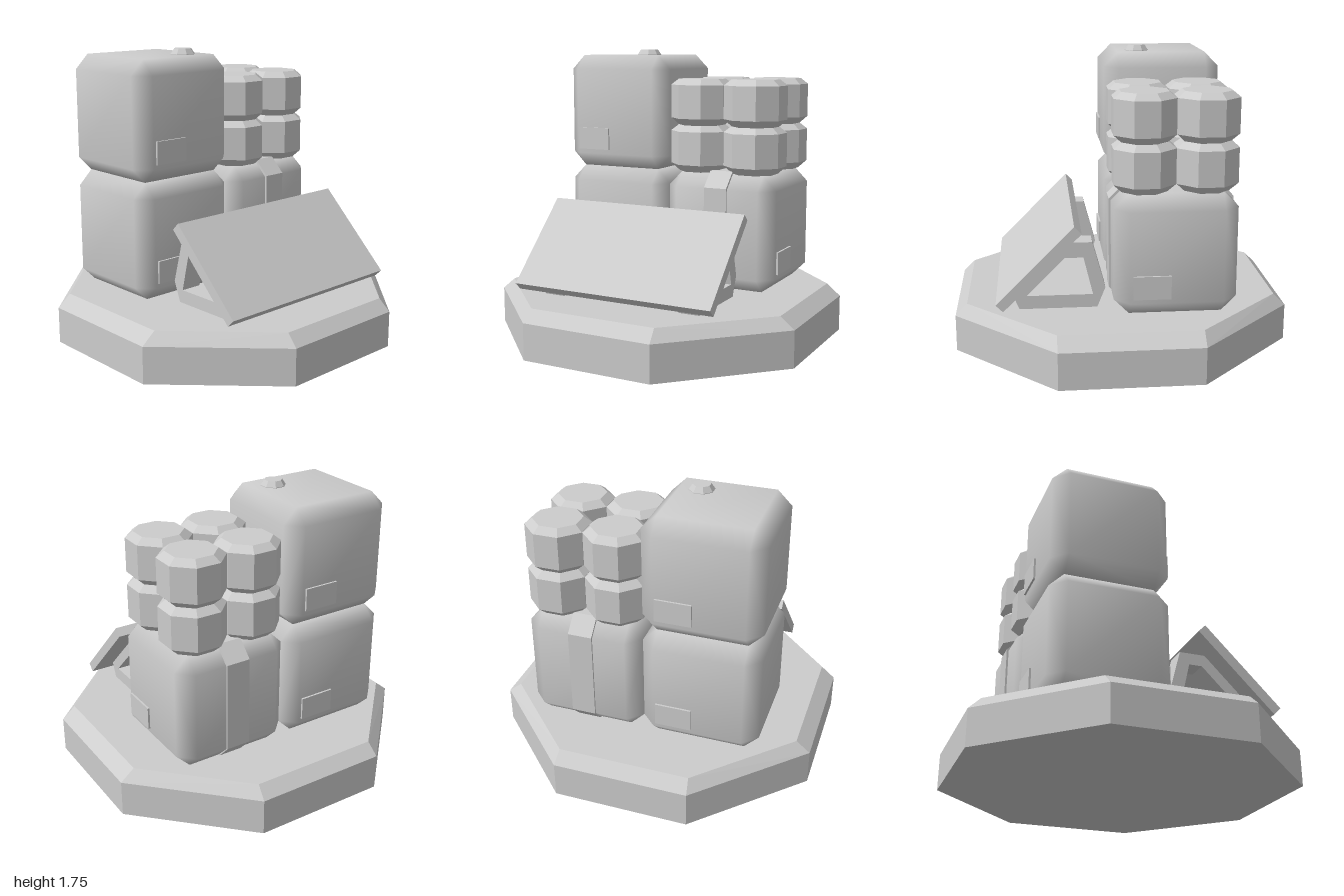
import * as THREE from 'three';
import { mergeVertices, toCreasedNormals } from 'three/addons/utils/BufferGeometryUtils.js';
import { ConvexGeometry } from 'three/addons/geometries/ConvexGeometry.js';

const grey = new THREE.MeshStandardMaterial({ color: 0xcccccc });
grey.name = 'plain grey';

function part(name, geometry, parent, x = 0, y = 0, z = 0) {
  const mesh = new THREE.Mesh(geometry, grey);
  mesh.name = name;
  mesh.position.set(x, y, z);
  parent.add(mesh);
  return mesh;
}

// Box with chamfered edges and soft shading
function chamferBox(size, c) {
  const h = size / 2, i = h - c, points = [];
  for (const x of [-1, 1]) for (const y of [-1, 1]) for (const z of [-1, 1]) {
    for (const [a, b, d] of [[h, i, i], [i, h, i], [i, i, h]]) {
      points.push(new THREE.Vector3(a * x, b * y, d * z));
    }
  }
  const g = new ConvexGeometry(points);
  g.deleteAttribute('normal');
  const merged = mergeVertices(g, 1e-4);
  merged.computeVertexNormals();
  return merged;
}

// Flat eight-sided turned form; profile is [apothem, y] from bottom to top
function octagonal(profile) {
  const k = 1 / Math.cos(Math.PI / 8);
  const points = profile.map(([r, y]) => new THREE.Vector2(r * k, y));
  const g = new THREE.LatheGeometry(points, 8).rotateY(Math.PI / 8);
  return toCreasedNormals(g, 0.3);
}

// Extrude a [z, y] outline along x, centred on x = 0
function sideExtrude(outline, width, hole) {
  const toVectors = (list) => list.map(([z, y]) => new THREE.Vector2(z, y));
  const shape = new THREE.Shape(toVectors(outline));
  if (hole) shape.holes.push(new THREE.Path(toVectors(hole)));
  return new THREE.ExtrudeGeometry(shape, { depth: width, bevelEnabled: false })
    .translate(0, 0, -width / 2).rotateY(-Math.PI / 2);
}

// Crate with a raised plate on its front and back
function crate(name, parent, x, y, turn) {
  const group = new THREE.Group();
  group.name = name;
  group.position.set(x, y, -0.285);
  group.rotation.y = turn;
  part('crateBody', chamferBox(0.716, 0.088), group);
  for (const s of [-1, 1]) {
    part('cratePlate', new THREE.BoxGeometry(0.218, 0.138, 0.02), group, -0.145 * s, -0.173, 0.36 * s);
  }
  parent.add(group);
}

export function createModel() {
  const model = new THREE.Group();
  model.name = 'supplyDepot';

  // Octagonal platform with a bevelled rim
  const rings = [[1, 0.41, 1, 0.41, 0], [1, 0.41, 1, 0.41, 0.22], [0.915, 0.41, 0.93, 0.4, 0.29]];
  const basePoints = [];
  for (const [ax, az, bz, bx, y] of rings) {
    for (const sx of [-1, 1]) for (const sz of [-1, 1]) {
      basePoints.push(new THREE.Vector3(ax * sx, y, az * sz), new THREE.Vector3(bx * sx, y, bz * sz));
    }
  }
  part('platform', new ConvexGeometry(basePoints), model);

  // Crates
  crate('lowerRightCrate', model, -0.357, 0.646, 0);
  crate('upperRightCrate', model, -0.357, 1.362, 0);
  crate('lowerLeftCrate', model, 0.357, 0.646, Math.PI / 2);
  part('crateCap', octagonal([[0.07, 0], [0.07, 0.005], [0.05, 0.037], [0, 0.037]]), model, -0.218, 1.718, -0.145);

  // Strap around the left crate
  const strap = [[0.085, 0.38], [0.085, 0.925], [-0.01, 1.02], [-0.56, 1.02],
    [-0.655, 0.925], [-0.655, 0.38], [-0.56, 0.28], [-0.01, 0.28]];
  part('crateStrap', sideExtrude(strap, 0.147), model, 0.357);

  // Two layers of four canisters
  const canister = octagonal([[0, 0], [0.13, 0], [0.178, 0.046], [0.178, 0.251], [0.135, 0.287], [0, 0.287]]);
  for (const y of [1.005, 1.289]) for (const x of [0.178, 0.536]) for (const z of [-0.464, -0.106]) {
    part('canister', canister, model, x, y, z);
  }

  // Tilted panel on two open frames
  part('panel', new THREE.BoxGeometry(1.288, 0.642, 0.06), model, 0, 0.574, 0.503).rotation.x = -Math.PI / 4;
  const frame = sideExtrude(
    [[0.655, 0.38], [0.615, 0.285], [0.162, 0.285], [0.112, 0.41], [0.188, 0.69], [0.345, 0.69]], 0.13,
    [[0.575, 0.37], [0.325, 0.62], [0.245, 0.62], [0.185, 0.37]]);
  for (const x of [-0.453, 0.45]) part('panelFrame', frame, model, x);

  return model;
}
